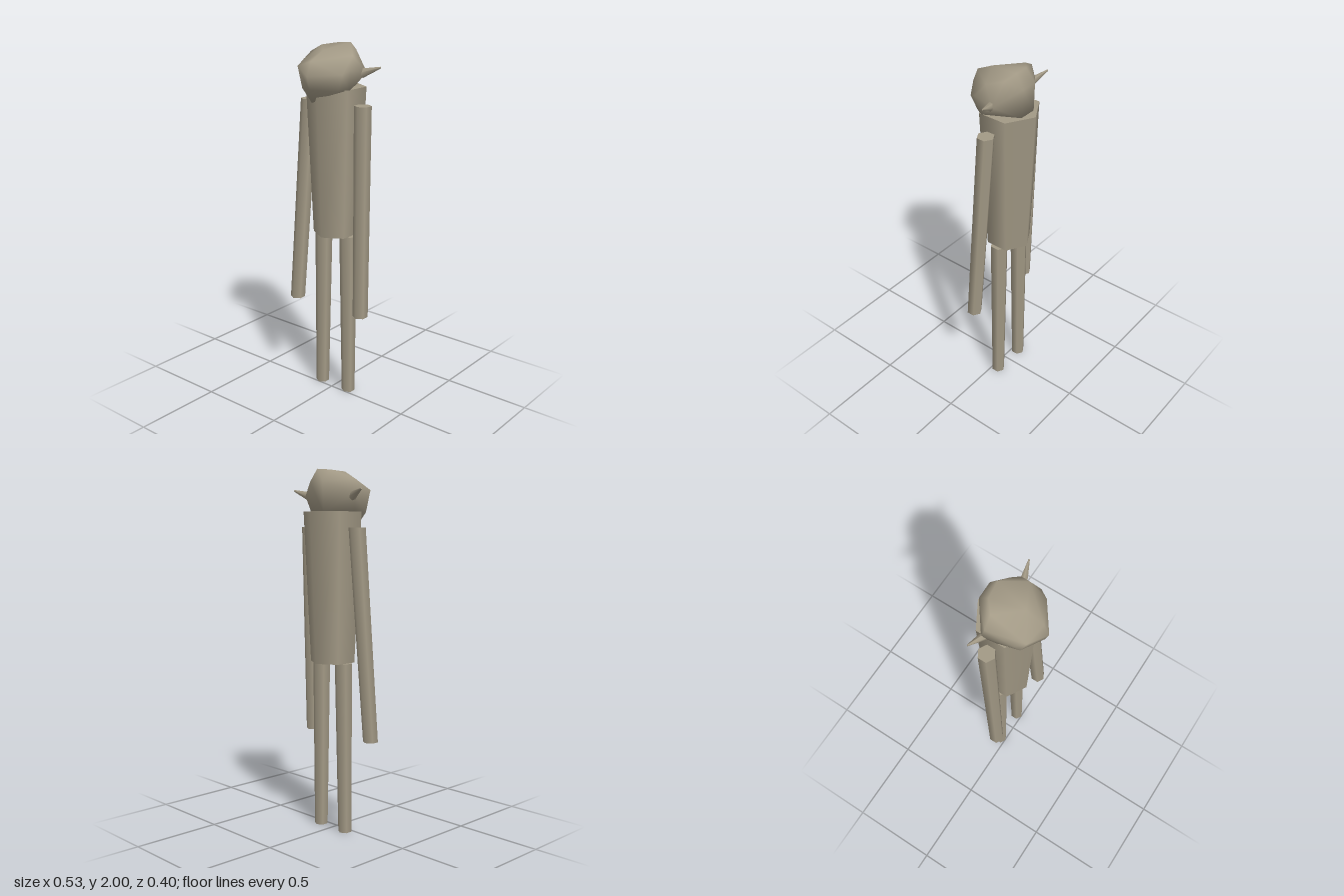
import * as THREE from 'three';
import { mergeVertices } from 'three/addons/utils/BufferGeometryUtils.js';
import { ConvexGeometry } from 'three/addons/geometries/ConvexGeometry.js';

const clay = new THREE.MeshStandardMaterial({ color: 0xa39a86 });
clay.name = 'clay';

function addMesh(parent, name, geometry) {
  const mesh = new THREE.Mesh(geometry, clay);
  mesh.name = name;
  parent.add(mesh);
  return mesh;
}

// Six-sided tapered limb with level ends, sheared so it runs from top to bottom
function taperedPrism(top, rTop, bottom, rBottom) {
  const height = top[1] - bottom[1];
  const geometry = new THREE.CylinderGeometry(rTop, rBottom, height, 6);
  const p = geometry.attributes.position;
  for (let i = 0; i < p.count; i++) {
    const t = p.getY(i) / height + 0.5;
    p.setXYZ(i,
      p.getX(i) + THREE.MathUtils.lerp(bottom[0], top[0], t),
      p.getY(i) + (top[1] + bottom[1]) / 2,
      p.getZ(i) + THREE.MathUtils.lerp(bottom[2], top[2], t));
  }
  return geometry;
}

// Small truncated spike pointing from base to tip
function earGeometry(base, tip) {
  const a = new THREE.Vector3(...base);
  const b = new THREE.Vector3(...tip);
  const dir = b.clone().sub(a);
  const geometry = new THREE.CylinderGeometry(0.005, 0.027, dir.length(), 6);
  geometry.scale(1, 1, 0.8);
  geometry.applyQuaternion(new THREE.Quaternion().setFromUnitVectors(
    new THREE.Vector3(0, 1, 0), dir.normalize()));
  geometry.translate(...a.add(b).multiplyScalar(0.5).toArray());
  return geometry;
}

// Lumpy, smooth-shaded head with a forward muzzle and an off-centre chin
function headGeometry() {
  const points = [
    // crown
    [0.04, 2.0, -0.11], [-0.05, 1.993, -0.1], [0.1, 1.97, -0.08],
    [-0.11, 1.982, -0.05], [0, 1.972, 0.07], [-0.175, 1.945, -0.04],
    [0.14, 1.948, 0],
    // back
    [0.045, 1.93, -0.157], [-0.05, 1.93, -0.155],
    [0.045, 1.77, -0.15], [-0.05, 1.77, -0.15],
    // sides
    [0.165, 1.88, 0.05], [0.178, 1.86, -0.07], [0.14, 1.77, 0.03],
    [-0.185, 1.87, -0.055], [-0.14, 1.77, 0],
    // muzzle and chin
    [0, 1.85, 0.198], [0, 1.925, 0.167], [0.145, 1.86, 0.093],
    [0.11, 1.77, 0.08], [-0.11, 1.89, 0.145], [-0.14, 1.86, 0.095],
    [-0.11, 1.77, 0.11], [-0.04, 1.7, 0.115], [0, 1.78, 0.18],
  ].map((p) => new THREE.Vector3(...p));
  const hull = new ConvexGeometry(points);
  hull.deleteAttribute('normal');
  const geometry = mergeVertices(hull);
  geometry.computeVertexNormals();
  return geometry;
}

export function createModel() {
  const model = new THREE.Group();
  model.name = 'figure';

  addMesh(model, 'torso', taperedPrism([0, 1.775, -0.037], 0.163, [0, 0.955, -0.036], 0.125));
  addMesh(model, 'head', headGeometry());

  // Paired parts
  for (const [side, s] of [['left', 1], ['right', -1]]) {
    addMesh(model, side + 'Arm',
      taperedPrism([s * 0.184, 1.69, -0.032], 0.047, [s * 0.23, 0.528, 0.031], 0.042));
    addMesh(model, side + 'Leg',
      taperedPrism([s * 0.087, 0.955, -0.037], 0.049, [s * 0.097, 0, -0.034], 0.038));
    addMesh(model, side + 'Ear',
      earGeometry([s * 0.16, 1.855, -0.048], [s * 0.26, 1.89, -0.079]));
  }
  return model;
}
